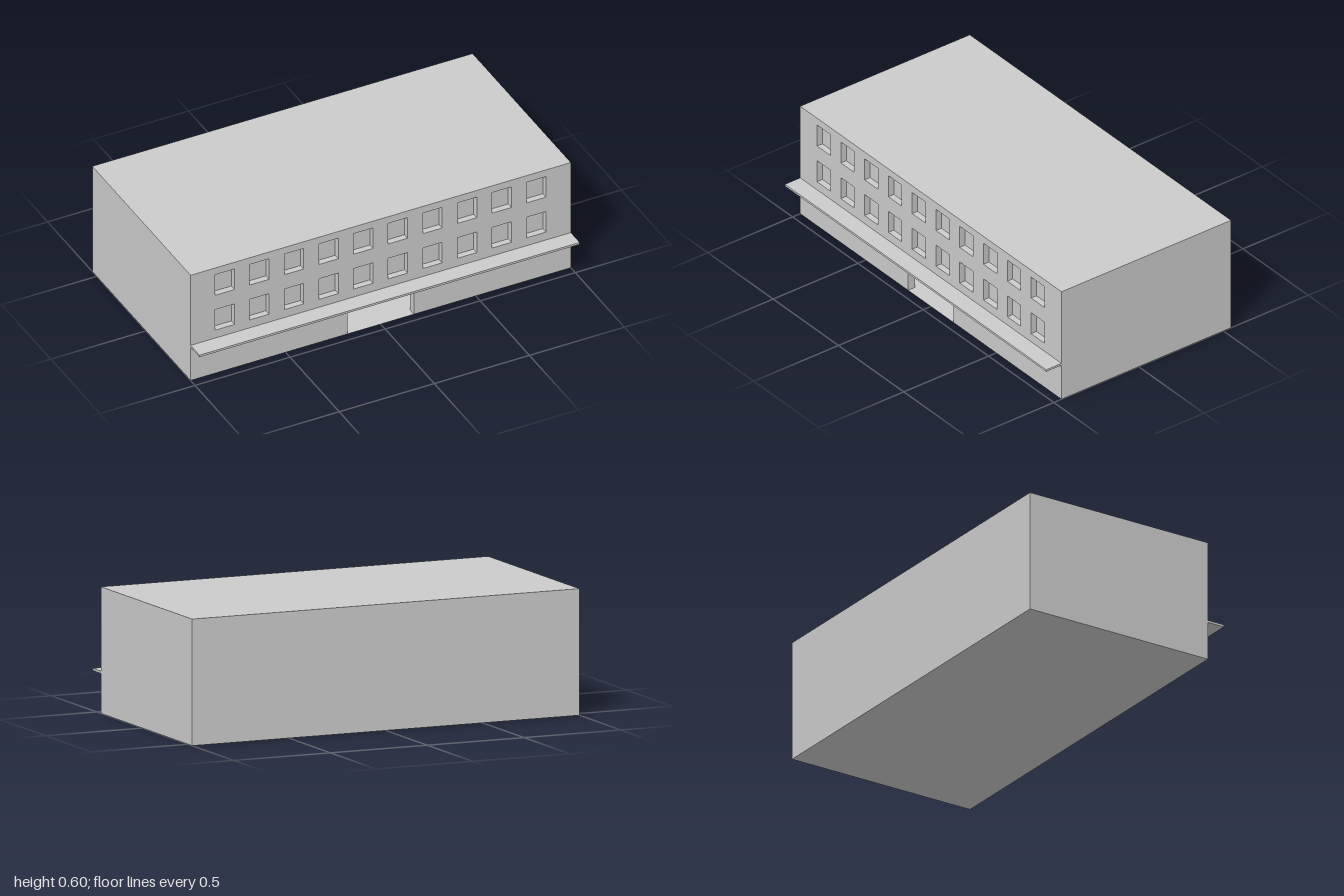
import * as THREE from 'three';

const FRONT = 0.455, BACK = -0.545, HEIGHT = 0.6, WALL = 0.042;
const DOOR = { half: 0.175, height: 0.17 };
const WINDOW = { w: 0.102, h: 0.117, depth: 0.032, count: 10, step: 0.182, rows: [0.304, 0.503] };

export function createModel() {
  const group = new THREE.Group();
  const material = new THREE.MeshStandardMaterial({ color: 0xcccccc, side: THREE.DoubleSide });

  const add = (name, geometry, x = 0, y = 0, z = 0) => {
    const mesh = new THREE.Mesh(geometry, material);
    mesh.name = name;
    mesh.position.set(x, y, z);
    group.add(mesh);
    return mesh;
  };

  // Hollow building shell
  const depth = FRONT - BACK, midZ = (FRONT + BACK) / 2;
  add('roof', new THREE.PlaneGeometry(2, depth).rotateX(-Math.PI / 2), 0, HEIGHT, midZ);
  add('floor', new THREE.PlaneGeometry(2, depth).rotateX(Math.PI / 2), 0, 0, midZ);
  add('backWall', new THREE.PlaneGeometry(2, HEIGHT).rotateY(Math.PI), 0, HEIGHT / 2, BACK);
  for (const [name, s] of [['leftWall', 1], ['rightWall', -1]]) {
    add(name, new THREE.PlaneGeometry(depth, HEIGHT).rotateY(s * Math.PI / 2), s, HEIGHT / 2, midZ);
  }

  // Front wall with a doorway notch and two rows of window openings
  const facade = new THREE.Shape([
    [-1, 0], [-DOOR.half, 0], [-DOOR.half, DOOR.height], [DOOR.half, DOOR.height],
    [DOOR.half, 0], [1, 0], [1, HEIGHT], [-1, HEIGHT],
  ].map(([x, y]) => new THREE.Vector2(x, y)));

  for (const y of WINDOW.rows) {
    for (let i = 0; i < WINDOW.count; i++) {
      const x = (i - (WINDOW.count - 1) / 2) * WINDOW.step - 0.001;
      const w = WINDOW.w / 2, h = WINDOW.h / 2;
      facade.holes.push(new THREE.Path([
        new THREE.Vector2(x - w, y - h), new THREE.Vector2(x - w, y + h),
        new THREE.Vector2(x + w, y + h), new THREE.Vector2(x + w, y - h),
      ]));
      // Recessed window pane
      add('windowPane', new THREE.PlaneGeometry(WINDOW.w, WINDOW.h), x, y, FRONT - WINDOW.depth);
    }
  }
  add('frontWall', new THREE.ExtrudeGeometry(facade, { depth: WALL, bevelEnabled: false }), 0, 0, FRONT - WALL);

  // Full-width canopy above the entrance
  add('canopy', new THREE.BoxGeometry(2, 0.011, 0.545 - FRONT), 0, 0.195, (0.545 + FRONT) / 2);

  return group;
}
